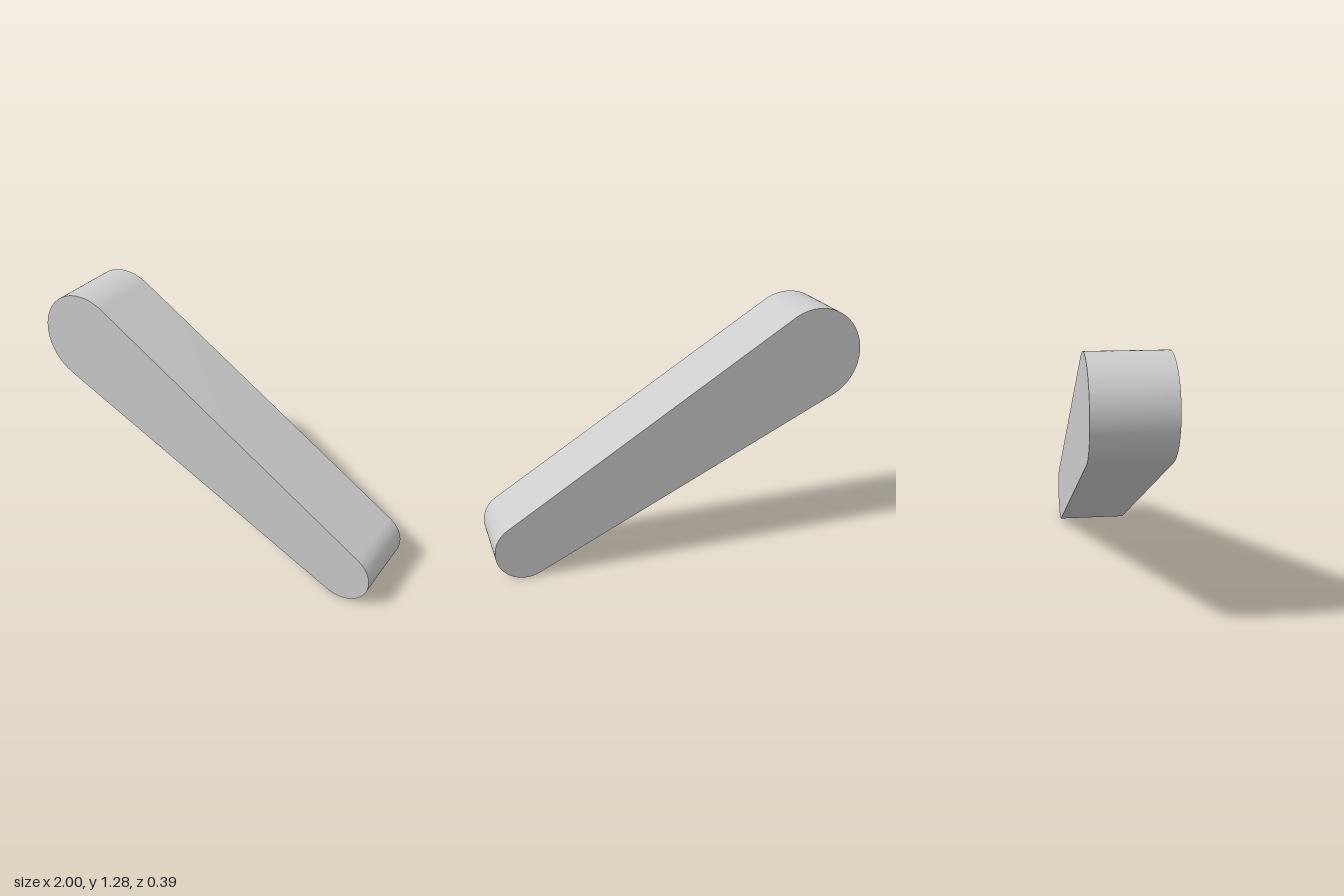
import * as THREE from 'three';
import { toCreasedNormals } from 'three/addons/utils/BufferGeometryUtils.js';

const DEPTH = 0.39;
const BIG = { x: -0.745, y: 1.03, r: 0.255 };
const SMALL = { x: 0.845, y: 0.155, r: 0.155 };

// Outline of two round ends joined by their outer tangents
function taperedOutline(a, b) {
  const axis = Math.atan2(b.y - a.y, b.x - a.x);
  const spread = Math.acos((a.r - b.r) / Math.hypot(b.x - a.x, b.y - a.y));
  const shape = new THREE.Shape();
  shape.absarc(a.x, a.y, a.r, axis + spread, axis - spread + Math.PI * 2, false);
  shape.absarc(b.x, b.y, b.r, axis - spread, axis + spread, false);
  shape.closePath();
  return shape;
}

export function createModel() {
  const model = new THREE.Group();
  model.name = 'taperedLever';

  // Flat-faced lever with smooth rounded ends
  const geometry = new THREE.ExtrudeGeometry(taperedOutline(BIG, SMALL), {
    depth: DEPTH,
    bevelEnabled: false,
    curveSegments: 40,
  });
  geometry.translate(0, 0, -DEPTH / 2);

  const lever = new THREE.Mesh(
    toCreasedNormals(geometry, Math.PI / 6),
    new THREE.MeshStandardMaterial({ color: 0xcccccc })
  );
  lever.name = 'leverArm';
  model.add(lever);
  return model;
}
